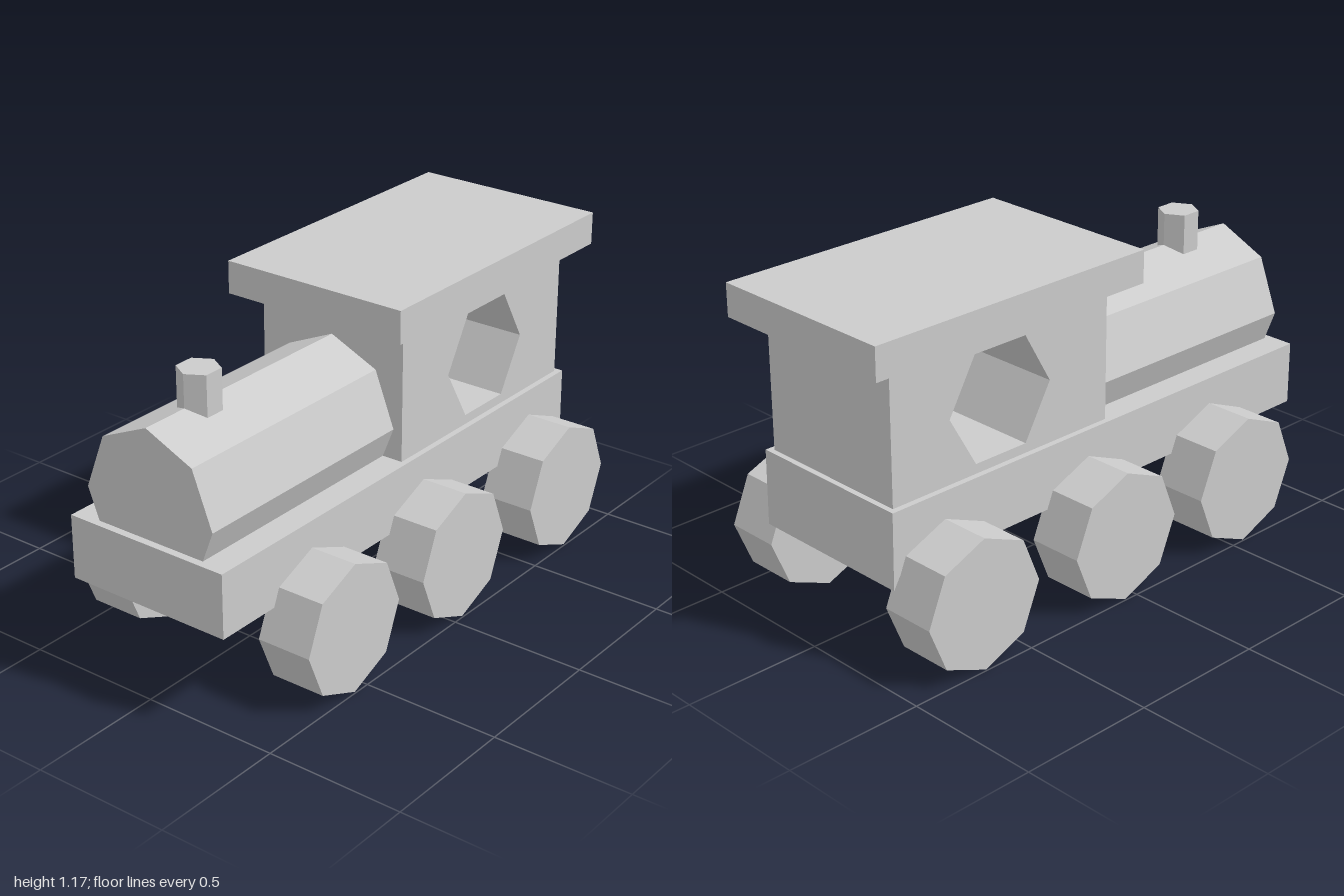
import * as THREE from 'three';

const material = new THREE.MeshStandardMaterial({ color: 0xcccccc, flatShading: true });

function add(group, name, geometry, x, y, z) {
  const mesh = new THREE.Mesh(geometry, material);
  mesh.name = name;
  mesh.position.set(x, y, z);
  group.add(mesh);
}

// Extrudes a side profile of [z, y] points across the width, centred on x = 0.
function sideExtrude(points, width, hole) {
  const toVectors = (list) => list.map(([z, y]) => new THREE.Vector2(-z, y));
  const shape = new THREE.Shape(toVectors(points));
  if (hole) shape.holes.push(new THREE.Path(toVectors(hole)));
  const geometry = new THREE.ExtrudeGeometry(shape, { depth: width, bevelEnabled: false });
  return geometry.translate(0, 0, -width / 2).rotateY(Math.PI / 2);
}

export function createModel() {
  const engine = new THREE.Group();
  engine.name = 'toyLocomotive';
  const bodyX = 0.004; // the body sits a hair off the wheel centreline

  // Chassis with a small lip under its rear edge
  add(engine, 'chassis', sideExtrude(
    [[1, 0.343], [1, 0.573], [-0.915, 0.573], [-0.918, 0.3], [-0.893, 0.343]], 0.633), bodyX, 0, 0);

  // Cab with a hexagonal window passing right through; the window winds
  // against the outline so that its tunnel walls face inwards
  const windowHole = [];
  for (let i = 0; i < 6; i++) {
    const a = (-i * Math.PI) / 3;
    windowHole.push([-0.433 + 0.22 * Math.cos(a), 0.798 + 0.22 * Math.sin(a)]);
  }
  add(engine, 'cab', sideExtrude(
    [[0.05, 0.573], [0.05, 1.053], [-0.895, 1.053], [-0.895, 0.573]], 0.59, windowHole), bodyX, 0, 0);

  // Flat overhanging roof
  add(engine, 'roof', new THREE.BoxGeometry(0.72, 0.118, 1.155), bodyX, 1.112, -0.4225);

  // Eight-sided boiler, sunk into the chassis
  const boiler = new THREE.CylinderGeometry(1, 1, 0.923, 8);
  boiler.rotateX(Math.PI / 2).scale(0.26, 0.279, 1);
  add(engine, 'boiler', boiler, bodyX, 0.684, 0.5115);

  // Six-sided chimney
  add(engine, 'chimney', new THREE.CylinderGeometry(0.073, 0.073, 0.2, 6), bodyX, 0.98, 0.722);

  // Three pairs of octagonal wheels
  const wheel = new THREE.CylinderGeometry(0.2375, 0.2375, 0.203, 8).rotateZ(Math.PI / 2);
  for (const [axle, z] of [['front', 0.56], ['middle', -0.05], ['rear', -0.698]]) {
    add(engine, axle + 'LeftWheel', wheel, 0.393, 0.2375, z);
    add(engine, axle + 'RightWheel', wheel, -0.393, 0.2375, z);
  }

  return engine;
}
